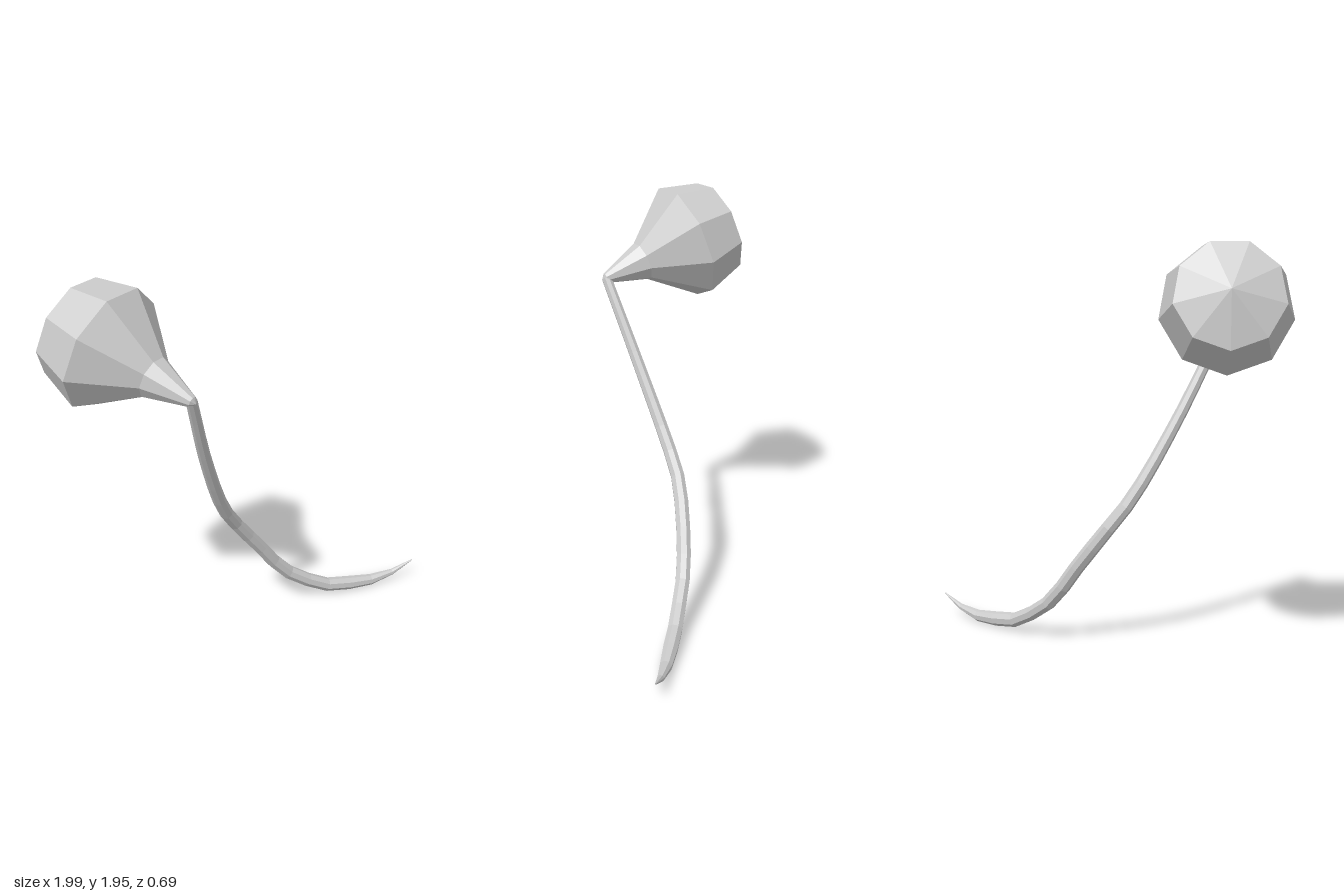
import * as THREE from 'three';

const material = new THREE.MeshStandardMaterial({ color: 0xcccccc, flatShading: true, side: THREE.DoubleSide });
const joint = new THREE.Vector3(-0.41, 1.53, 0.32);

// Nine-sided bulb, turned around an axis that leans up and back from the joint
function makeBulb() {
  const profile = [[0, -0.025], [0.026, -0.005], [0.1, 0.21], [0.302, 0.46], [0.245, 0.67], [0, 0.75]];
  const geometry = new THREE.LatheGeometry(profile.map(([r, y]) => new THREE.Vector2(r, y)), 9);
  const tilt = THREE.MathUtils.degToRad(18);
  const axis = new THREE.Vector3(-0.6 * Math.cos(tilt), Math.sin(tilt), -0.8 * Math.cos(tilt));
  const down = new THREE.Vector3(0, -1, 0).addScaledVector(axis, axis.y).normalize();
  const side = new THREE.Vector3().crossVectors(axis, down);
  geometry.applyMatrix4(new THREE.Matrix4().makeBasis(side, axis, down).setPosition(joint));
  const bulb = new THREE.Mesh(geometry, material);
  bulb.name = 'bulb';
  return bulb;
}

// Curved stem, slim at the joint and drawn out to a point at the free end
function makeStem() {
  const path = new THREE.CatmullRomCurve3([
    [-0.41, 1.53, 0.32], [-0.297, 1.13, 0.14], [-0.163, 0.765, -0.03], [-0.07, 0.61, -0.105],
    [0.075, 0.415, -0.155], [0.22, 0.225, -0.18], [0.34, 0.137, -0.18], [0.473, 0.066, -0.18],
    [0.617, 0.043, -0.18], [0.77, 0.035, -0.18], [0.92, 0.07, -0.178], [1, 0.11, -0.178],
  ].map((p) => new THREE.Vector3(...p)));
  const rings = 18, sides = 8;
  const geometry = new THREE.TubeGeometry(path, rings, 1, sides);
  const position = geometry.attributes.position;
  const point = new THREE.Vector3();
  for (let i = 0; i <= rings; i++) {
    const u = i / rings;
    const centre = path.getPointAt(u);
    const body = THREE.MathUtils.lerp(0.026, 0.037, Math.min(1, u / 0.5));
    const radius = u > 0.88 ? THREE.MathUtils.mapLinear(u, 0.88, 1, 0.032, 0.003) : body;
    for (let j = 0; j <= sides; j++) {
      const k = i * (sides + 1) + j;
      point.fromBufferAttribute(position, k).sub(centre).multiplyScalar(radius).add(centre);
      position.setXYZ(k, point.x, point.y, point.z);
    }
  }
  geometry.computeVertexNormals();
  const stem = new THREE.Mesh(geometry, material);
  stem.name = 'stem';
  return stem;
}

export function createModel() {
  const model = new THREE.Group();
  model.name = 'bulbOnStem';
  model.add(makeBulb(), makeStem());
  return model;
}
